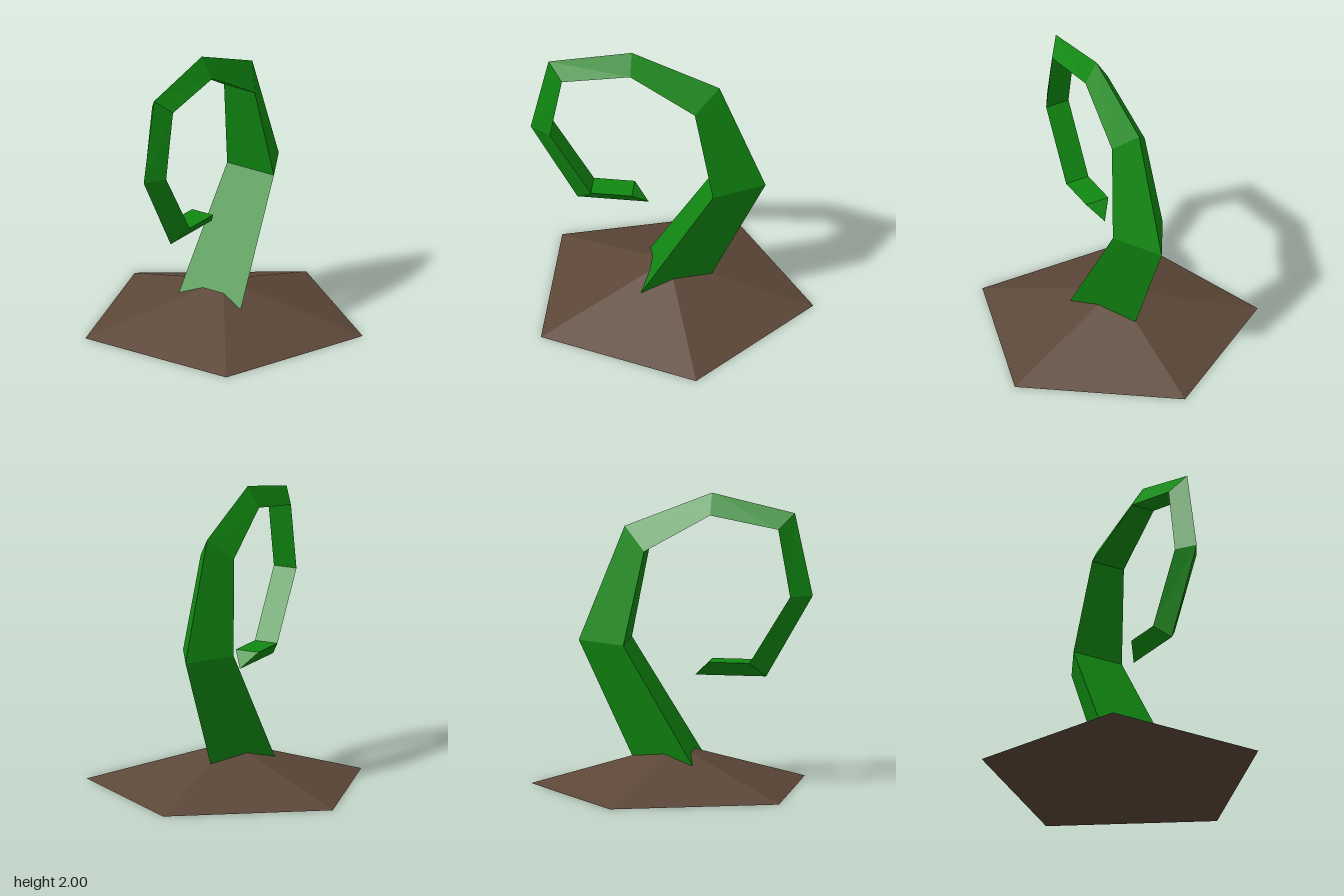
import * as THREE from 'three';

// Triangular stem sections: ridge z, ridge y, inner z, inner y, inner half width
const SECTIONS = [
  [-0.22, 0.1, 0.23, 0.1, 0.258],
  [-0.63, 0.98, -0.3, 0.98, 0.19],
  [-0.32, 1.76, -0.17, 1.61, 0.125],
  [0.27, 2.0, 0.27, 1.86, 0.085],
  [0.83, 1.875, 0.73, 1.775, 0.085],
  [0.95, 1.32, 0.81, 1.32, 0.085],
  [0.635, 0.765, 0.535, 0.865, 0.085],
  [0.155, 0.765, 0.26, 0.865, 0.085],
];

function curledStem() {
  const rings = SECTIONS.map(([oz, oy, iz, iy, w]) => [[0, oy, oz], [-w, iy, iz], [w, iy, iz]]);
  const positions = [];
  const tri = (a, b, c) => positions.push(...a, ...b, ...c);

  // Join each section to the next
  for (let i = 0; i < rings.length - 1; i++) {
    for (let j = 0; j < 3; j++) {
      const k = (j + 1) % 3;
      tri(rings[i][j], rings[i][k], rings[i + 1][k]);
      tri(rings[i][j], rings[i + 1][k], rings[i + 1][j]);
    }
  }

  // Close the buried root and the slanted tip
  const [a, b, c] = rings[0];
  tri(a, c, b);
  tri(...rings[rings.length - 1]);

  const geometry = new THREE.BufferGeometry();
  geometry.setAttribute('position', new THREE.Float32BufferAttribute(positions, 3));
  geometry.computeVertexNormals();
  return geometry;
}

export function createModel() {
  const group = new THREE.Group();
  group.name = 'curledSprout';

  const leafGreen = new THREE.MeshStandardMaterial({ color: 0x118811, flatShading: true });
  leafGreen.name = 'leaf green';
  const soilBrown = new THREE.MeshStandardMaterial({ color: 0x5c4738, flatShading: true });
  soilBrown.name = 'soil brown';

  // Five-sided mound with one corner to the back
  const mound = new THREE.Mesh(new THREE.ConeGeometry(0.973, 0.295, 5), soilBrown);
  mound.name = 'soilMound';
  mound.rotation.y = Math.PI;
  mound.position.set(0, 0.1475, 0.022);
  group.add(mound);

  // Tapering stem that curls forward and back in
  const stem = new THREE.Mesh(curledStem(), leafGreen);
  stem.name = 'curledStem';
  group.add(stem);

  return group;
}
